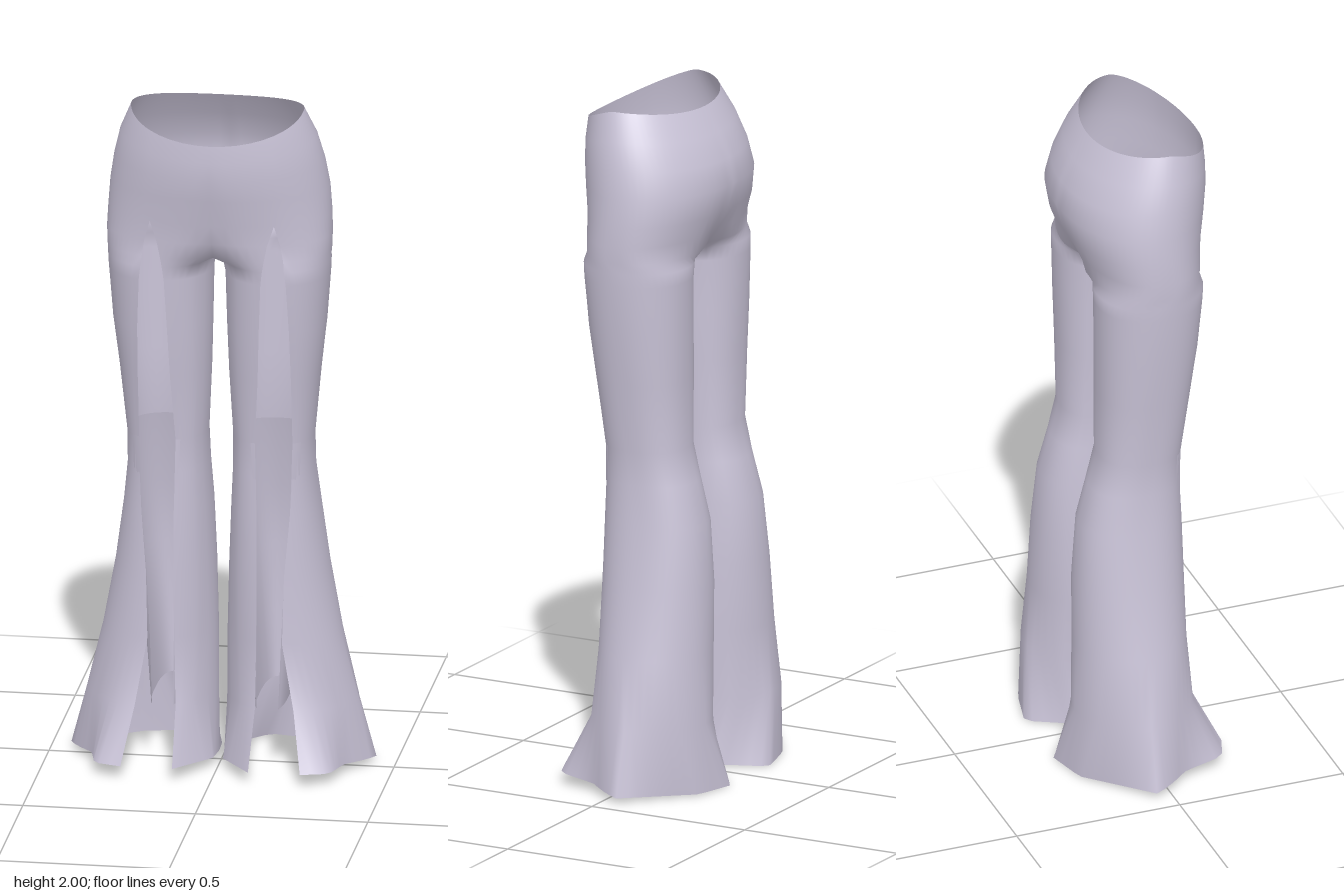
import * as THREE from 'three';
import { mergeVertices } from 'three/addons/utils/BufferGeometryUtils.js';

// Segments of each cross-section: front panel, inner leg, back and outer side
const PARTS = [5, 6, 26];
const { sin, cos, asin, PI, abs, sign, max, exp } = Math;
const soft = (v, p) => sign(v) * abs(v) ** p;
const mix = THREE.MathUtils.lerp;

// Hips: y, half width, front z, back z, waist curve, crotch cleft, slit inner x, slit outer x, roundness
const HIPS = [
  [2.0, 0.25, 0.237, -0.095, 1, 0, 0.18, 0.18, 1],
  [1.92, 0.284, 0.24, -0.14, 0.6, 0, 0.18, 0.18, 1],
  [1.84, 0.304, 0.239, -0.175, 0.25, 0, 0.18, 0.18, 1],
  [1.76, 0.317, 0.23, -0.191, 0, 0.01, 0.18, 0.18, 0.98],
  [1.68, 0.323, 0.212, -0.172, 0, 0.02, 0.18, 0.18, 0.92],
  [1.62, 0.325, 0.204, -0.147, 0, 0.06, 0.16, 0.197, 0.86],
  [1.57, 0.323, 0.197, -0.137, 0, 0.2, 0.15, 0.205, 0.8],
];

// Left leg: y, inner x, outer x, front z, back z, slit inner x, slit outer x, roundness
const LEG = [
  [1.54, 0.01, 0.322, 0.187, -0.129, 0.145, 0.208, 0.96],
  [1.5, 0.018, 0.32, 0.184, -0.128, 0.14, 0.213, 0.95],
  [1.35, 0.022, 0.308, 0.17, -0.125, 0.133, 0.22, 0.91],
  [1.2, 0.027, 0.29, 0.15, -0.122, 0.127, 0.222, 0.87],
  [1.0, 0.037, 0.27, 0.124, -0.12, 0.115, 0.222, 0.85],
  [0.9, 0.035, 0.27, 0.123, -0.145, 0.117, 0.221, 0.85],
  [0.78, 0.028, 0.283, 0.126, -0.178, 0.12, 0.215, 0.87],
  [0.6, 0.02, 0.308, 0.129, -0.194, 0.12, 0.2, 0.93],
  [0.4, 0.014, 0.345, 0.131, -0.199, 0.12, 0.195, 1],
  [0.2, 0.012, 0.393, 0.143, -0.21, 0.115, 0.23, 1.1],
];

// Slim inner leg tapering from the knee to the ankle, in the same order
const LINING = [
  [1.0, 0.037, 0.27, 0.124, -0.12, 0.115, 0.222, 0.85],
  [0.78, 0.05, 0.262, 0.124, -0.168, 0.12, 0.215, 0.82],
  [0.6, 0.07, 0.242, 0.128, -0.182, 0.12, 0.2, 0.8],
  [0.4, 0.09, 0.215, 0.132, -0.182, 0.12, 0.19, 0.75],
  [0.2, 0.108, 0.195, 0.15, -0.178, 0.12, 0.183, 0.7],
];

// Flared hem as x, z corners, one path for each part of the cross-section
const HEM = [
  [[0.11, 0.222], [0.015, 0.07]],
  [[0.015, 0.07], [0.01, -0.02], [0.015, -0.11]],
  [[0.015, -0.11], [0.107, -0.245], [0.25, -0.212], [0.445, -0.045],
    [0.405, 0.02], [0.365, 0.07], [0.34, 0.19], [0.26, 0.22]],
];

// Calls fn(part, t) along a cross-section and collects the points
function ring(fn) {
  const points = [];
  PARTS.forEach((n, part) => {
    for (let i = part ? 1 : 0; i <= n; i++) points.push(fn(part, i / n));
  });
  return points;
}

function hipRing([y, rx, zf, zb, curve, cleft, xa, xb, p]) {
  const cz = (zf + zb) / 2, rz = (zf - zb) / 2;
  const slit = (x) => asin((x / rx) ** (1 / p));
  const at = (a) => {
    const x = abs(rx * soft(sin(a), p));
    const f = soft(cos(a), p);
    const drop = curve * (f > 0 ? 0.07 * f ** 1.2 : 0.022 * f * f);
    return [x < 1e-4 ? 0 : x, y - drop, cz + rz * f * (1 - cleft * exp(-((x / 0.06) ** 2)))];
  };
  const front = at(0), back = at(PI);
  return ring((part, t) => {
    if (part === 0) return at(mix(slit(xa), 0, t));
    if (part === 2) return at(mix(PI, slit(xb), t));
    return front.map((v, k) => mix(v, back[k], t)); // crotch line
  });
}

function legRing([y, xi, xo, zf, zb, xa, xb, p]) {
  const cx = (xi + xo) / 2, rx = (xo - xi) / 2;
  const cz = (zf + zb) / 2, rz = (zf - zb) / 2;
  const slit = (d) => asin(soft(d / rx, 1 / p));
  const stops = [slit(cx - xa), PI * 0.28, PI * 0.72, 2 * PI - slit(xb - cx)];
  return ring((part, t) => {
    const a = mix(stops[part], stops[part + 1], t);
    return [cx - rx * soft(sin(a), p), y, cz + rz * soft(cos(a), p)];
  });
}

function hemRing() {
  const paths = HEM.map((corners) => {
    const path = new THREE.CurvePath();
    for (let i = 1; i < corners.length; i++) {
      path.add(new THREE.LineCurve(new THREE.Vector2(...corners[i - 1]), new THREE.Vector2(...corners[i])));
    }
    return path;
  });
  return ring((part, t) => {
    const { x, y: z } = paths[part].getPointAt(t);
    return [x, max(0, 0.02 + 0.08 * z), z];
  });
}

// Skins cross-sections on both sides into one welded surface;
// the first joinedRows have no wall between the two halves
function skin(rows, joinedRows) {
  const count = rows[0].length;
  const positions = [], indices = [];
  for (const side of [1, -1]) {
    const base = positions.length / 3;
    rows.flat().forEach(([x, y, z]) => positions.push(side * x, y, z));
    for (let r = 0; r < rows.length - 1; r++) {
      for (let i = 0; i < count - 1; i++) {
        const inner = i >= PARTS[0] && i < PARTS[0] + PARTS[1];
        if (inner && r < joinedRows) continue;
        const a = base + r * count + i, b = a + 1, c = a + count, d = c + 1;
        if (side > 0) indices.push(a, b, c, b, d, c);
        else indices.push(a, c, b, b, c, d);
      }
    }
  }
  const geometry = new THREE.BufferGeometry();
  geometry.setAttribute('position', new THREE.Float32BufferAttribute(positions, 3));
  geometry.setIndex(indices);
  const welded = mergeVertices(geometry, 1e-4);
  welded.computeVertexNormals();
  return welded;
}

export function createModel() {
  const group = new THREE.Group();
  group.name = 'flaredTrousers';
  const fabric = new THREE.MeshStandardMaterial({ color: 0xc8c2d6, side: THREE.DoubleSide });
  fabric.name = 'lavender grey fabric';
  const add = (name, geometry) => {
    const mesh = new THREE.Mesh(geometry, fabric);
    mesh.name = name;
    group.add(mesh);
  };
  add('trousers', skin([...HIPS.map(hipRing), ...LEG.map(legRing), hemRing()], HIPS.length - 1));
  add('innerLegs', skin(LINING.map(legRing), 0));
  return group;
}
